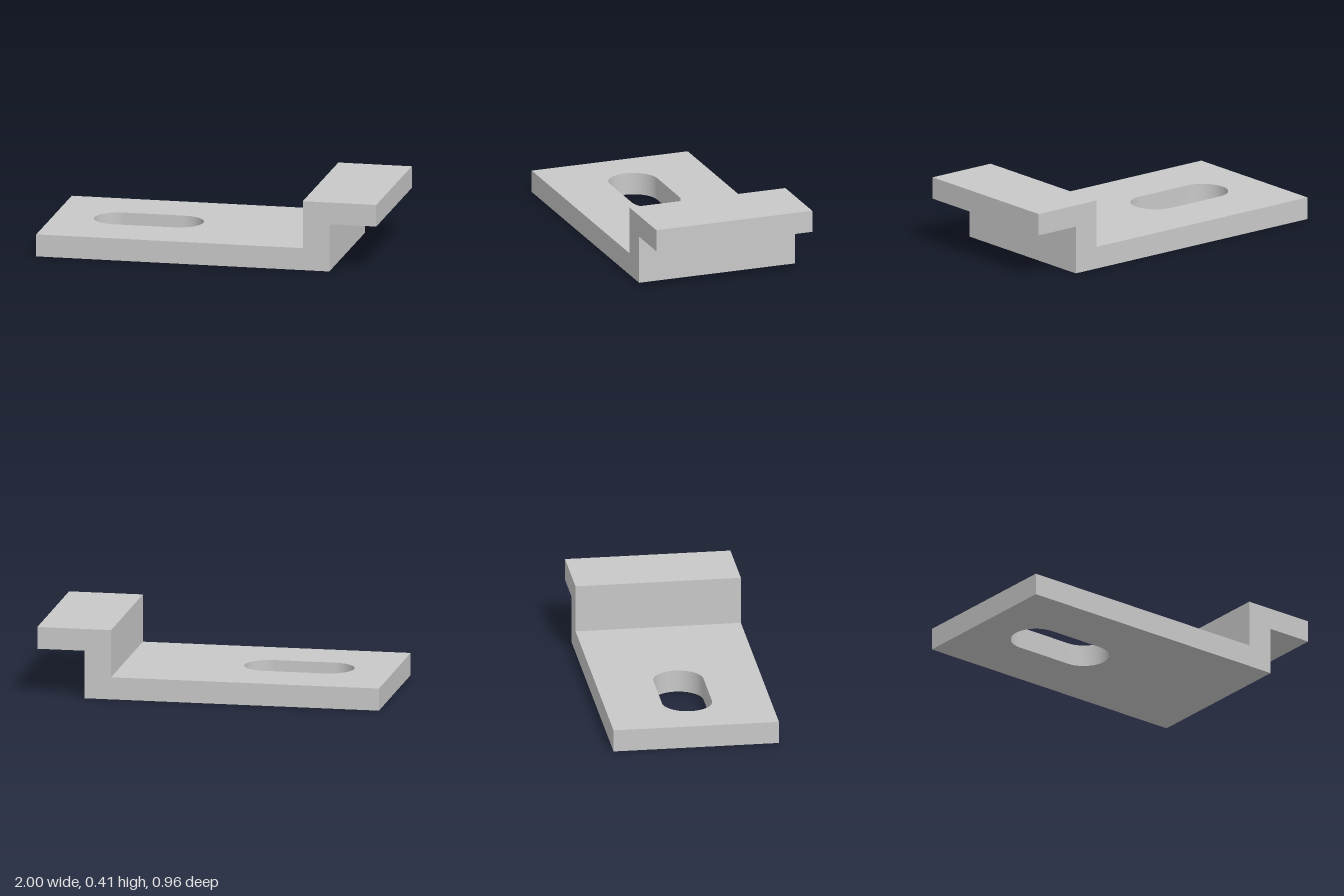
import * as THREE from 'three';
import { toCreasedNormals } from 'three/addons/utils/BufferGeometryUtils.js';

const WIDTH = 0.96;      // depth along z
const THICK = 0.13;      // base plate thickness
const RISER_LEFT = 0.568, RISER_RIGHT = 0.724;

function polygon(points) {
  return new THREE.Shape(points.map(([x, y]) => new THREE.Vector2(x, y)));
}

export function createModel() {
  const model = new THREE.Group();
  model.name = 'steppedBracket';
  const metal = new THREE.MeshStandardMaterial({ color: 0xc8c8c8 });
  metal.name = 'lightGrey';

  function addExtrusion(name, shape, depth) {
    const raw = new THREE.ExtrudeGeometry(shape, { depth, bevelEnabled: false, curveSegments: 24 });
    const mesh = new THREE.Mesh(toCreasedNormals(raw, 0.6), metal);
    mesh.name = name;
    model.add(mesh);
    return mesh;
  }

  // Base plate, drawn from above, with a rounded slot
  const half = WIDTH / 2;
  const plate = polygon([[-1, -half], [RISER_RIGHT, -half], [RISER_RIGHT, half], [-1, half]]);
  const r = 0.145, slotLeft = -0.617, slotRight = -0.266;
  const slot = new THREE.Path();
  slot.absarc(slotRight, 0, r, -Math.PI / 2, Math.PI / 2, false);
  slot.absarc(slotLeft, 0, r, Math.PI / 2, Math.PI * 1.5, false);
  slot.closePath();
  plate.holes.push(slot);
  addExtrusion('basePlate', plate, THICK).geometry.rotateX(-Math.PI / 2);

  // Riser and raised lip, drawn from the front
  const lipBottom = 0.28, lipTop = 0.408;
  const step = polygon([
    [RISER_LEFT, THICK], [RISER_RIGHT, THICK], [RISER_RIGHT, lipBottom],
    [1, lipBottom], [1, lipTop], [RISER_LEFT, lipTop],
  ]);
  addExtrusion('raisedLip', step, WIDTH).geometry.translate(0, 0, -half);

  return model;
}
